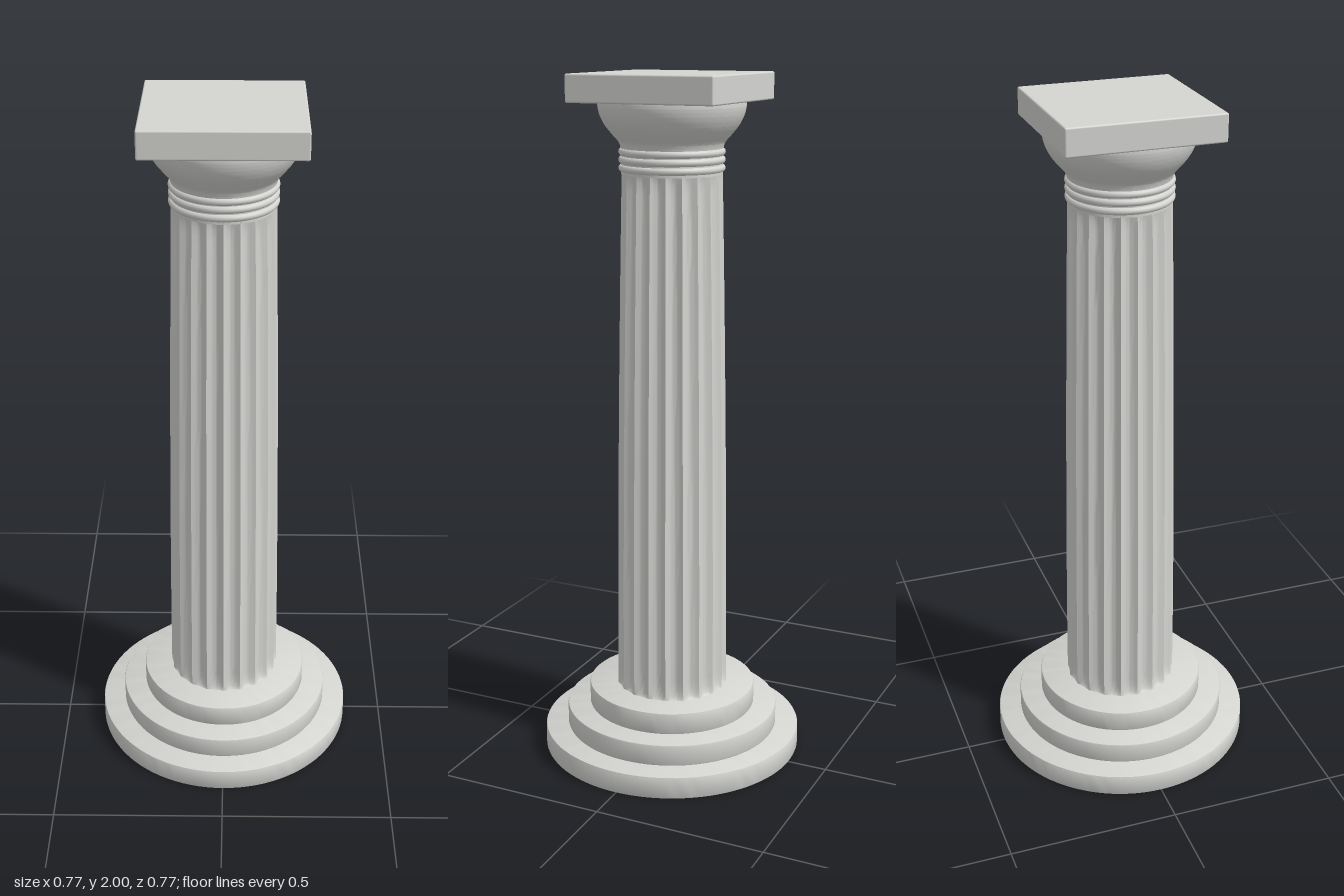
import * as THREE from 'three';
import { toCreasedNormals } from 'three/addons/utils/BufferGeometryUtils.js';
import { RoundedBoxGeometry } from 'three/addons/geometries/RoundedBoxGeometry.js';

const stone = new THREE.MeshStandardMaterial({ color: 0xd4d4d1 });
stone.name = 'stone';

function addPart(group, name, geometry) {
  const mesh = new THREE.Mesh(geometry, stone);
  mesh.name = name;
  group.add(mesh);
  return mesh;
}

// Solid of revolution from [radius, height] pairs, listed bottom to top
function turned(profile, crease = 0.6) {
  const points = profile.map(([r, y]) => new THREE.Vector2(r, y));
  return toCreasedNormals(new THREE.LatheGeometry(points, 96), crease);
}

// Round step with softened rims
function stepGeometry(radius, y0, y1) {
  const b = 0.005, k = b * 0.3;
  return turned([
    [0, y0], [radius - b, y0], [radius - k, y0 + k], [radius, y0 + b],
    [radius, y1 - b], [radius - k, y1 - k], [radius - b, y1], [0, y1],
  ]);
}

// Tapered shaft with a slight swelling; hollow flutes fade out at both ends
function shaftGeometry(y0, y1) {
  const flutes = 20, depth = 0.013;
  const geometry = new THREE.CylinderGeometry(1, 1, 1, flutes * 8, 32, true);
  const pos = geometry.attributes.position;
  for (let i = 0; i < pos.count; i++) {
    const angle = Math.atan2(pos.getX(i), pos.getZ(i));
    const t = (1 - Math.cos(Math.PI * (pos.getY(i) + 0.5))) / 2;
    const y = y0 + t * (y1 - y0);
    const fade = Math.sqrt(THREE.MathUtils.clamp(Math.min((y - y0) / 0.03, (y1 - y) / 0.04), 0, 1));
    const radius = 0.165 - 0.023 * Math.pow(t, 1.6);
    const r = radius - depth * fade * Math.abs(Math.sin(angle * flutes / 2));
    pos.setXYZ(i, r * Math.sin(angle), y, r * Math.cos(angle));
  }
  return toCreasedNormals(geometry, 0.6);
}

export function createModel() {
  const column = new THREE.Group();
  column.name = 'column';

  // Stepped round base
  [['lowerStep', 0.385, 0, 0.067], ['middleStep', 0.317, 0.067, 0.132], ['upperStep', 0.249, 0.132, 0.198]]
    .forEach(([name, radius, y0, y1]) => addPart(column, name, stepGeometry(radius, y0, y1)));

  addPart(column, 'flutedShaft', shaftGeometry(0.195, 1.74));

  // Neck with three thin rings
  addPart(column, 'neck', new THREE.CylinderGeometry(0.142, 0.142, 0.09, 96, 1, true)).position.y = 1.77;
  [1.742, 1.765, 1.787].forEach((y, i) => {
    const ring = addPart(column, 'neckRing' + (i + 1), new THREE.TorusGeometry(0.139, 0.0105, 12, 96));
    ring.rotation.x = Math.PI / 2;
    ring.position.y = y;
  });

  // Flared cushion of the capital
  const flare = new THREE.SplineCurve([
    [0.142, 1.792], [0.148, 1.812], [0.165, 1.832], [0.186, 1.858], [0.2, 1.885], [0.206, 1.91], [0.205, 1.927],
  ].map(([r, y]) => new THREE.Vector2(r, y))).getPoints(28).map((p) => [p.x, p.y]);
  addPart(column, 'capitalCushion', turned([...flare, [0, 1.927]]));

  // Square slab on top
  addPart(column, 'topSlab', new RoundedBoxGeometry(0.436, 0.077, 0.436, 3, 0.005)).position.y = 1.9615;

  return column;
}
